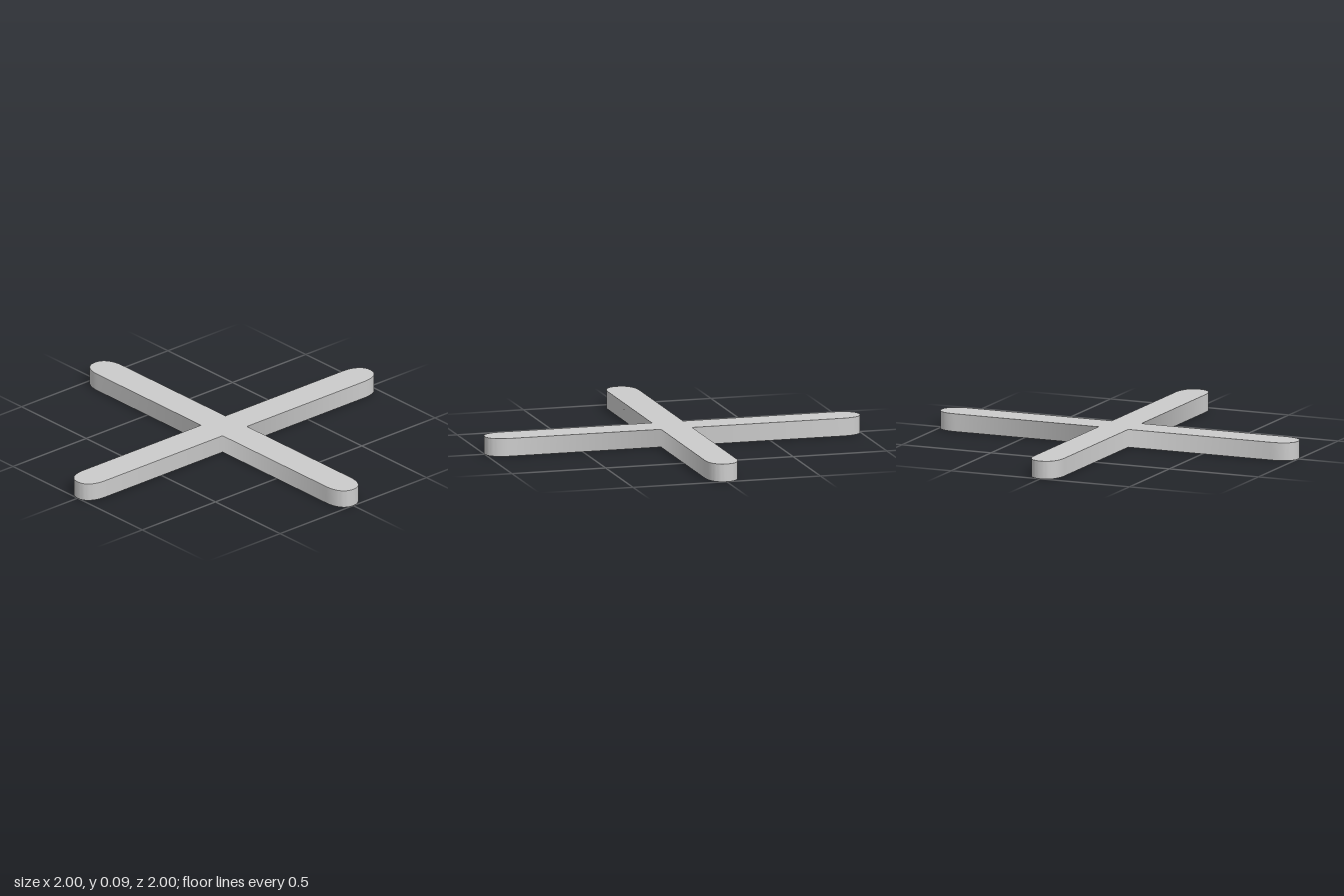
import * as THREE from 'three';
import { toCreasedNormals } from 'three/addons/utils/BufferGeometryUtils.js';

const HALF_WIDTH = 0.083; // half the width of an arm
const TIP = 0.12;         // length of the rounded tip
const HEIGHT = 0.093;
const STEPS = 32;         // segments around a tip
const ROUND = 2 / 2.3;    // slightly blunter than an ellipse

// Plus-shaped outline: an inner corner and a rounded tip, turned four times
function crossOutline() {
  const arm = [new THREE.Vector2(HALF_WIDTH, -HALF_WIDTH)];
  for (let i = 0; i <= STEPS; i++) {
    const a = Math.PI * (i / STEPS - 0.5);
    arm.push(new THREE.Vector2(
      1 - TIP + TIP * Math.abs(Math.cos(a)) ** ROUND,
      HALF_WIDTH * Math.sign(a) * Math.abs(Math.sin(a)) ** ROUND
    ));
  }
  const centre = new THREE.Vector2();
  const points = [0, 1, 2, 3].flatMap(
    (k) => arm.map((p) => p.clone().rotateAround(centre, k * Math.PI / 2))
  );
  return new THREE.Shape(points);
}

// Shade the walls smoothly through the four inner corners
function smoothInnerCorners(geometry) {
  const { position, normal } = geometry.attributes;
  for (let i = 0; i < position.count; i++) {
    const x = position.getX(i), z = position.getZ(i);
    const atCorner = Math.abs(Math.abs(x) - Math.abs(z)) < 1e-4;
    if (atCorner && Math.abs(normal.getY(i)) < 0.5) {
      normal.setXYZ(i, Math.sign(x) * Math.SQRT1_2, 0, Math.sign(z) * Math.SQRT1_2);
    }
  }
  return geometry;
}

export function createModel() {
  const group = new THREE.Group();
  group.name = 'crossSpacer';

  // Flat slab lying on the ground
  const slab = new THREE.ExtrudeGeometry(crossOutline(), { depth: HEIGHT, bevelEnabled: false });
  slab.rotateX(-Math.PI / 2);

  const cross = new THREE.Mesh(
    smoothInnerCorners(toCreasedNormals(slab, Math.PI / 6)),
    new THREE.MeshStandardMaterial({ color: 0xcccccc })
  );
  cross.name = 'crossArms';
  group.add(cross);
  return group;
}
